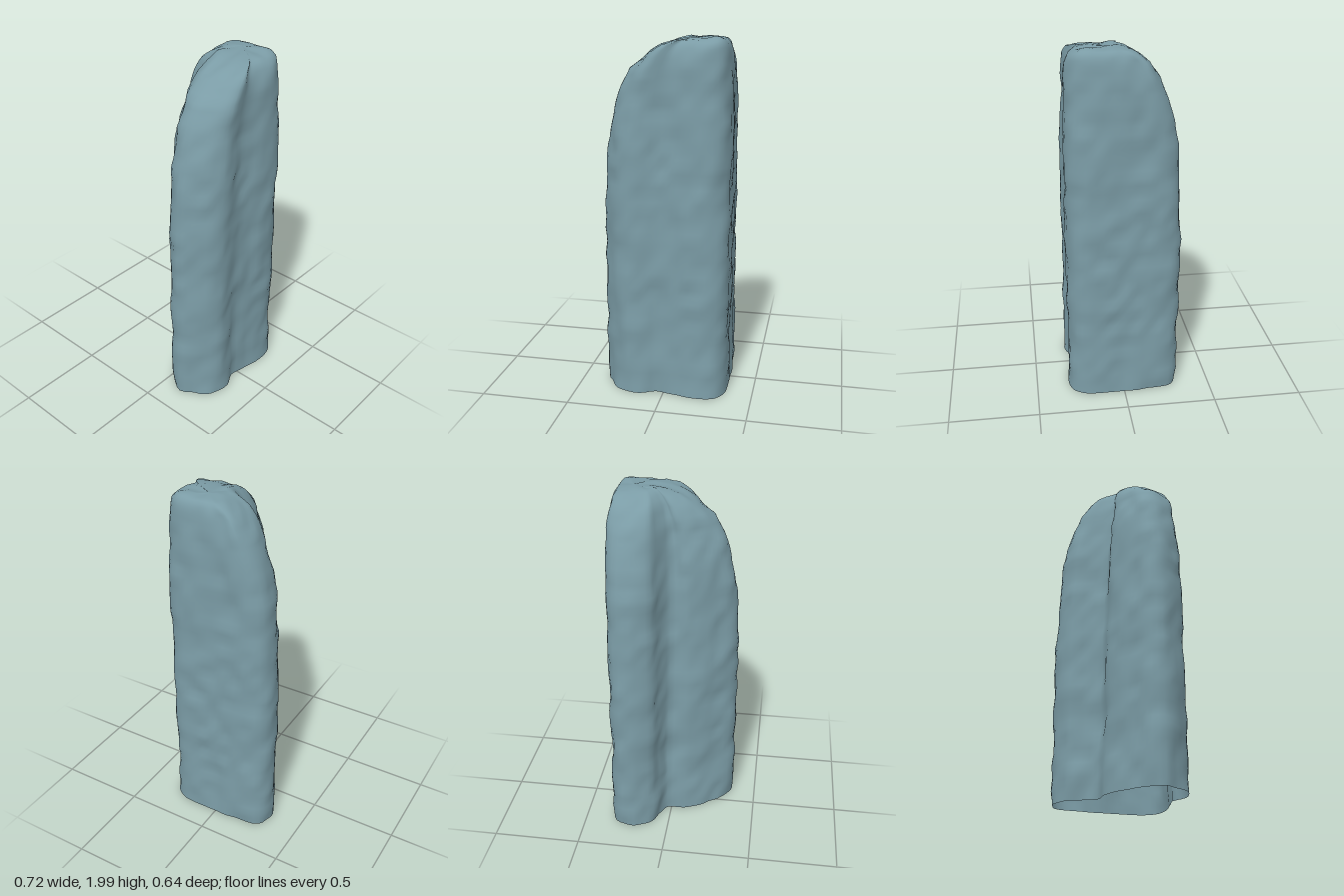
import * as THREE from 'three';

// Footprint: a rounded L, with one arm to the side and one to the back (x, z)
const OUTLINE = [
  [-0.357, 0.13], [-0.335, 0.06], [-0.25, -0.005], [-0.17, -0.06], [-0.09, -0.092], [0.005, -0.093],
  [0.05, -0.16], [0.088, -0.258], [0.145, -0.297], [0.2, -0.318], [0.26, -0.317], [0.305, -0.293],
  [0.333, -0.25], [0.342, -0.1], [0.349, 0.03], [0.347, 0.18], [0.328, 0.246], [0.293, 0.286],
  [0.235, 0.309], [0.14, 0.306], [0.06, 0.292], [-0.04, 0.285], [-0.1, 0.298], [-0.18, 0.31],
  [-0.245, 0.283], [-0.297, 0.233], [-0.337, 0.18],
];
const PIVOT = { x: 0.22, z: 0.07 };

// Height, then the extents of the section: x min, x max, z min, z max
const LEVELS = [
  [0, -0.357, 0.349, -0.318, 0.31],
  [1.0, -0.357, 0.349, -0.318, 0.31],
  [1.3, -0.348, 0.348, -0.307, 0.306],
  [1.48, -0.328, 0.346, -0.292, 0.302],
  [1.6, -0.298, 0.346, -0.27, 0.3],
  [1.7, -0.265, 0.346, -0.245, 0.297],
  [1.82, -0.2, 0.342, -0.2, 0.294],
  [1.91, -0.1, 0.333, -0.14, 0.285],
  [1.95, -0.035, 0.323, -0.085, 0.272],
  [1.975, 0.04, 0.305, -0.04, 0.245],
  [1.985, 0.12, 0.28, 0.0, 0.19],
  [1.992, 0.22, 0.22, 0.07, 0.07],
];
const BASE = LEVELS[0].slice(1);

// Rows are closer together toward the crown
const ROW_HEIGHTS = [];
for (let i = 0; i < 44; i++) ROW_HEIGHTS.push(i * 0.04);
ROW_HEIGHTS.push(1.76, 1.79, 1.82, 1.85, 1.88, 1.91, 1.93, 1.95, 1.963, 1.975, 1.98, 1.985, 1.9885, 1.992);

function extentsAt(y) {
  let k = 0;
  while (k < LEVELS.length - 2 && y > LEVELS[k + 1][0]) k++;
  const a = LEVELS[k], b = LEVELS[k + 1];
  const t = (y - a[0]) / (b[0] - a[0]);
  return a.slice(1).map((v, i) => THREE.MathUtils.lerp(v, b[i + 1], t));
}

// Pull a coordinate in to the new extents; softness 1 moves the far ends most, 0 moves all evenly
function squeeze(v, pivot, [lo, hi], [newLo, newHi], softness) {
  const end = v < pivot ? lo : hi;
  const ratio = ((v < pivot ? newLo : newHi) - pivot) / (end - pivot);
  const u = (v - pivot) / (end - pivot);
  const soft = u * ratio / (ratio + u * (1 - ratio) + 1e-9);
  return pivot + (end - pivot) * THREE.MathUtils.lerp(u * ratio, soft, softness);
}

// Repeatable lattice noise between -1 and 1
function hash(i, j, k) {
  const s = Math.sin(i * 127.1 + j * 311.7 + k * 74.7 + 5.3) * 43758.5453;
  return 2 * (s - Math.floor(s)) - 1;
}

function noise(x, y, z) {
  const cell = [x, y, z].map(Math.floor);
  const f = [x, y, z].map((v, i) => THREE.MathUtils.smoothstep(v - cell[i], 0, 1));
  let sum = 0;
  for (let c = 0; c < 8; c++) {
    const bit = [c & 1, (c >> 1) & 1, c >> 2];
    const weight = bit.reduce((w, b, i) => w * (b ? f[i] : 1 - f[i]), 1);
    sum += weight * hash(...cell.map((v, i) => v + bit[i]));
  }
  return sum;
}

// Lumps of weathered stone in two sizes
function lumps(x, y, z) {
  return 0.5 * noise(x * 8, y * 7, z * 8) + 0.5 * noise(x * 15 + 40, y * 13, z * 15);
}

function rockGeometry() {
  const curve = new THREE.CatmullRomCurve3(
    OUTLINE.map(([x, z]) => new THREE.Vector3(x, 0, z)), true, 'centripetal');
  const n = 72;
  const ring = curve.getSpacedPoints(n).slice(0, n);
  const positions = [], index = [];

  ROW_HEIGHTS.forEach((y, row) => {
    const extents = extentsAt(y);
    const fade = THREE.MathUtils.clamp((1.985 - y) / 0.08, 0, 1);
    ring.forEach((p, j) => {
      const next = ring[(j + 1) % n], prev = ring[(j + n - 1) % n];
      const out = new THREE.Vector3(next.z - prev.z, 0, prev.x - next.x).normalize();
      let x = squeeze(p.x, PIVOT.x, BASE.slice(0, 2), extents.slice(0, 2), 0.8);
      let z = squeeze(p.z, PIVOT.z, BASE.slice(2), extents.slice(2), 0.2);
      // The inner corner drifts as it climbs
      const nearCorner = Math.exp(-((p.x - 0.01) ** 2 + (p.z + 0.1) ** 2) / 0.006);
      const drift = nearCorner * (1 - y) * fade;
      // Shallow groove low on the front face
      const groove = z > 0.2
        ? 0.014 * Math.exp(-(((x + 0.04) / 0.05) ** 2)) * Math.max(0, 1 - y / 0.9) : 0;
      const push = 0.018 * fade * lumps(x, y, z) - groove;
      const lift = y > 1.85 ? 0.014 * lumps(x * 1.3, 0.4, z * 1.3) : 0;
      x += out.x * push + 0.018 * drift;
      z += out.z * push - 0.022 * drift;
      positions.push(x, Math.min(2, y + lift), z);
      if (row < ROW_HEIGHTS.length - 1) {
        const a = row * n + j, b = row * n + (j + 1) % n;
        index.push(b, a, a + n);
        if (row < ROW_HEIGHTS.length - 2) index.push(b, a + n, b + n);
      }
    });
  });

  const geometry = new THREE.BufferGeometry();
  geometry.setAttribute('position', new THREE.Float32BufferAttribute(positions, 3));
  geometry.setIndex(index);
  geometry.computeVertexNormals();
  return geometry;
}

export function createModel() {
  const stone = new THREE.MeshStandardMaterial({ color: 0x7b9ca6, side: THREE.DoubleSide });
  stone.name = 'blue grey stone';

  // Hollow standing stone, open underneath
  const pillar = new THREE.Mesh(rockGeometry(), stone);
  pillar.name = 'rockPillar';

  const group = new THREE.Group();
  group.name = 'standingStone';
  group.add(pillar);
  return group;
}
